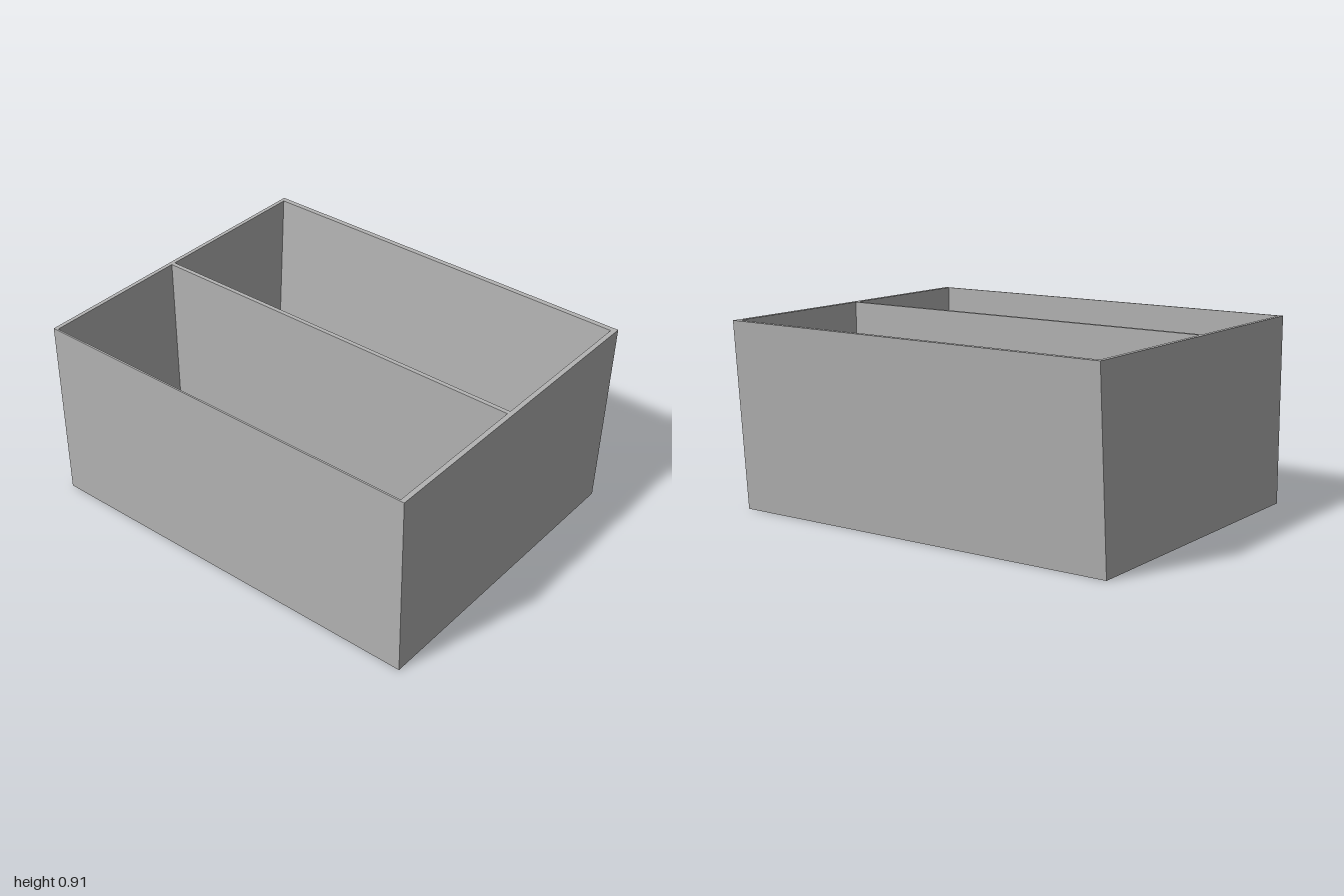
import * as THREE from 'three';

const H = 0.91;      // height
const FLOOR = 0.01;  // floor thickness
const LEAN = 0.065;  // outward lean of the slanted wall
const BACK = -0.98, FRONT = 0.976; // inner faces of the end panels

export function createModel() {
  const group = new THREE.Group();
  group.name = 'dividedTray';
  const grey = new THREE.MeshStandardMaterial({ color: 0xb2b2b2 });
  grey.name = 'grey';

  // Extrudes an x-y outline from z0 to z1
  const panel = (name, points, z0, z1) => {
    const shape = new THREE.Shape(points.map(([x, y]) => new THREE.Vector2(x, y)));
    const geometry = new THREE.ExtrudeGeometry(shape, { depth: z1 - z0, bevelEnabled: false });
    geometry.translate(0, 0, z0);
    const mesh = new THREE.Mesh(geometry, grey);
    mesh.name = name;
    group.add(mesh);
  };
  const rightEdge = (y) => 0.74 + LEAN * y / H;

  // End panels share the full side outline
  const outline = [[-0.805, 0], [rightEdge(0), 0], [rightEdge(H), H], [-0.805, H]];
  panel('backPanel', outline, -1, BACK);
  panel('frontPanel', outline, FRONT, 1);

  // Floor between the end panels
  panel('floor', [[-0.805, 0], [rightEdge(0), 0], [rightEdge(FLOOR), FLOOR], [-0.805, FLOOR]], BACK, FRONT);

  // Upright wall, middle divider and slanted wall
  panel('uprightWall', [[-0.805, FLOOR], [-0.796, FLOOR], [-0.796, H], [-0.805, H]], BACK, FRONT);
  panel('divider', [[-0.053, FLOOR], [-0.032, FLOOR], [-0.032, H], [-0.053, H]], BACK, FRONT);
  panel('slantedWall', [
    [rightEdge(FLOOR) - 0.026, FLOOR], [rightEdge(FLOOR), FLOOR],
    [rightEdge(H), H], [rightEdge(H) - 0.026, H],
  ], BACK, FRONT);

  return group;
}
